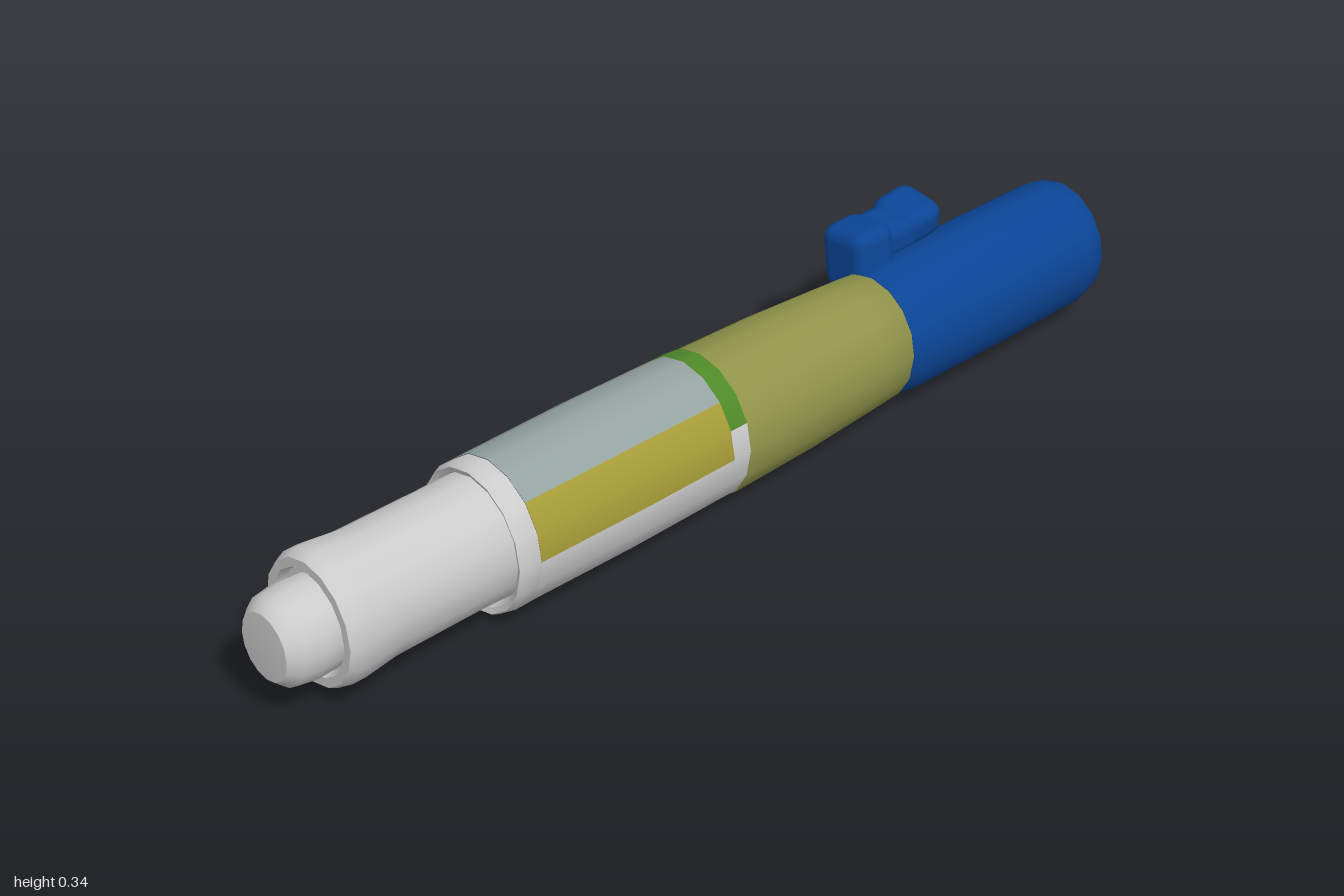
import * as THREE from 'three';
import { toCreasedNormals } from 'three/addons/utils/BufferGeometryUtils.js';
import { RoundedBoxGeometry } from 'three/addons/geometries/RoundedBoxGeometry.js';

const SIDES = 16;
const STEP = (Math.PI * 2) / SIDES;
const AXIS_Y = 0.153;

const paint = (color) => new THREE.MeshStandardMaterial({ color });
const grey = paint(0xcccccc);
const pale = paint(0x95a3a1);
const yellow = paint(0xa69c38);
const olive = paint(0x90944a);
const green = paint(0x4f8a28);
const blue = paint(0x0b4596);
const paleBlue = paint(0x52698f);

// Profile of [radius, position along z], turned about z; sides counted from the bottom towards +x
function turned(name, profile, material, dy = 0, first = 0, count = SIDES) {
  const points = profile.map(([r, s]) => new THREE.Vector2(r, s));
  let geometry = new THREE.LatheGeometry(points, count, first * STEP, count * STEP);
  geometry.rotateX(Math.PI / 2);
  geometry.scale(0.91, 1, 1); // slightly oval section
  if (count === SIDES) geometry = toCreasedNormals(geometry, 0.75);
  const mesh = new THREE.Mesh(geometry, material);
  mesh.name = name;
  mesh.position.y = AXIS_Y + dy;
  return mesh;
}

function block(name, size, position, tilt = [0, 0, 0]) {
  const mesh = new THREE.Mesh(new RoundedBoxGeometry(...size, 2, 0.028), blue);
  mesh.name = name;
  mesh.position.set(...position);
  mesh.rotation.set(...tilt);
  return mesh;
}

export function createModel() {
  const model = new THREE.Group();
  model.name = 'injectorPen';

  const pen = new THREE.Group();
  pen.name = 'pen';
  pen.rotation.y = -0.174;
  model.add(pen);

  // Push button and dose sleeve with a flared, slightly recessed rim
  pen.add(turned('pushButton', [
    [0.088, 0.86], [0.092, 0.93], [0.086, 0.97], [0.066, 0.993], [0, 0.997],
  ], grey, 0.001));
  pen.add(turned('doseSleeve', [
    [0.124, 0.5], [0.122, 0.6], [0.123, 0.78], [0.131, 0.85],
    [0.131, 0.88], [0.122, 0.9], [0.104, 0.9], [0.098, 0.882], [0, 0.882],
  ], grey, 0.005));

  // Barrel: front collar, then coloured panels around the shell
  pen.add(turned('barrelCollar', [
    [0.147, 0.5], [0.147, 0.53], [0.141, 0.545], [0.13, 0.54], [0.124, 0.52], [0, 0.52],
  ], grey));
  const shell = [[0.146, 0.04], [0.149, 0.25], [0.147, 0.5]];
  const panels = [
    ['barrelUnderside', grey, 14, 6],
    ['leftWindow', yellow, 4, 2],
    ['barrelTop', pale, 6, 6],
    ['rightWindow', yellow, 12, 2],
  ];
  for (const [name, material, first, count] of panels) {
    pen.add(turned(name, shell, material, 0.001, first, count));
  }

  // Band at the joint, green over the top and grey below
  const band = [[0.146, 0], [0.146, 0.04]];
  pen.add(turned('greenBand', band, green, 0.001, 5, 7));
  pen.add(turned('lowerBand', band, grey, 0.001, 12, 9));

  // Cartridge holder
  pen.add(turned('cartridgeHolder', [
    [0, -0.46], [0.112, -0.46], [0.127, -0.44], [0.132, -0.36],
    [0.141, -0.2], [0.146, 0], [0, 0.002],
  ], olive, -0.002));

  // Cap with a rounded end and a shallow dimple
  pen.add(turned('cap', [
    [0.104, -0.993], [0.122, -0.98], [0.131, -0.945], [0.133, -0.75],
    [0.132, -0.48], [0.122, -0.448], [0, -0.445],
  ], blue, -0.002));
  pen.add(turned('capEnd', [
    [0, -0.988], [0.04, -0.995], [0.085, -0.999], [0.104, -0.993],
  ], paleBlue, -0.002));

  // Pocket clip: base, bridge and raised free end
  const clip = new THREE.Group();
  clip.name = 'pocketClip';
  clip.add(
    block('clipBase', [0.112, 0.13, 0.1], [-0.075, 0.279, -0.487], [0, 0, 0.12]),
    block('clipBridge', [0.1, 0.075, 0.13], [-0.082, 0.296, -0.555]),
    block('clipEnd', [0.108, 0.075, 0.105], [-0.084, 0.306, -0.622], [0.08, 0, -0.15]),
  );
  pen.add(clip);

  return model;
}
